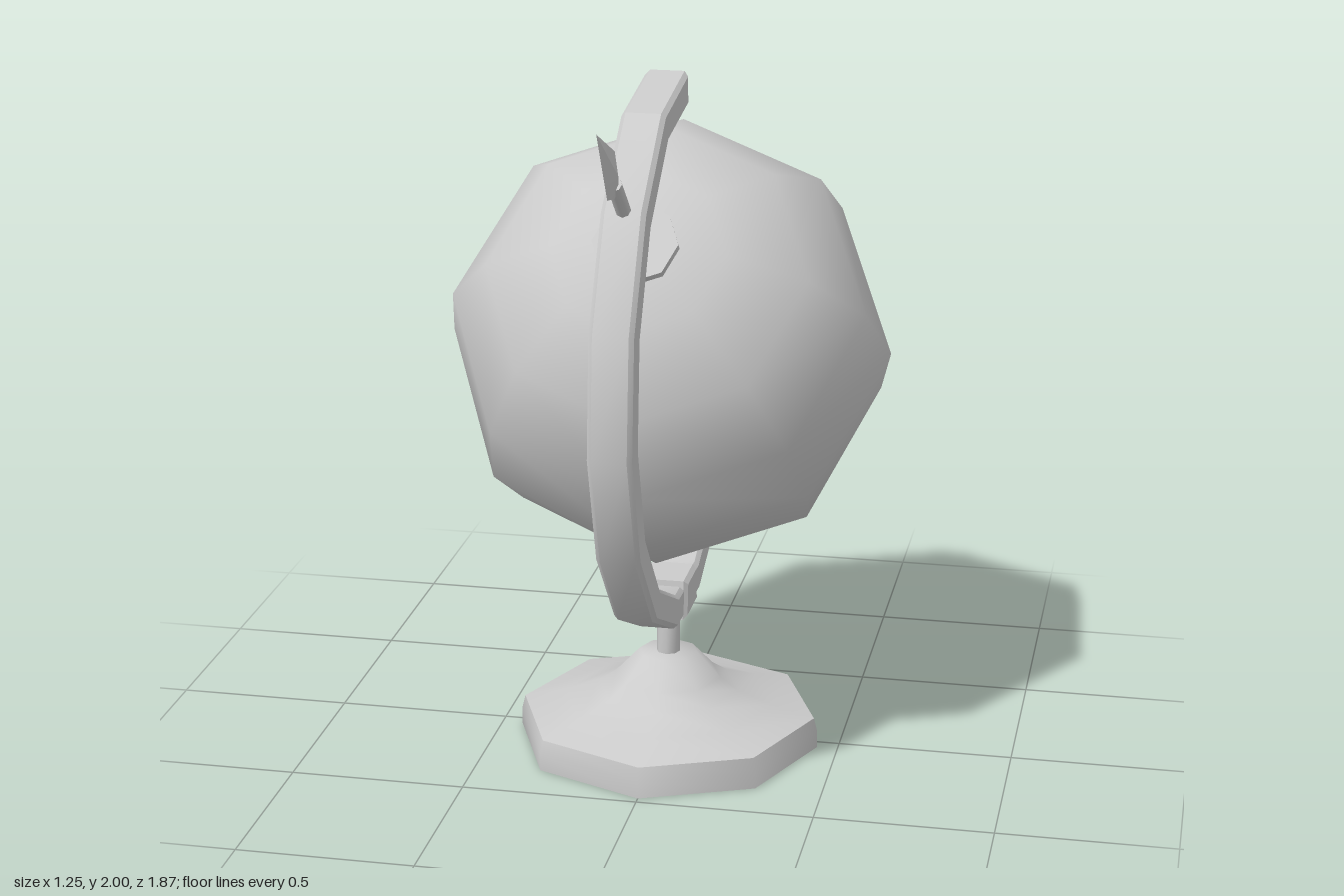
import * as THREE from 'three';
import { toCreasedNormals } from 'three/addons/utils/BufferGeometryUtils.js';

const material = new THREE.MeshStandardMaterial({ color: 0xcccccc });
const v2 = (x, y) => new THREE.Vector2(x, y);

function add(parent, name, geometry, crease) {
  const mesh = new THREE.Mesh(crease ? toCreasedNormals(geometry, crease) : geometry, material);
  mesh.name = name;
  parent.add(mesh);
  return mesh;
}

// Extrudes a (z, y) outline across x, centred on x = 0, with a small bevel
function sideExtrude(points, width, bevel) {
  const g = new THREE.ExtrudeGeometry(new THREE.Shape(points), {
    depth: width - 2 * bevel,
    bevelEnabled: bevel > 0,
    bevelSize: bevel,
    bevelThickness: bevel,
    bevelOffset: -bevel,
    bevelSegments: 1,
  });
  return g.translate(0, 0, bevel - width / 2).rotateY(-Math.PI / 2);
}

export function createModel() {
  const model = new THREE.Group();
  const centreY = 1.2, centreZ = 0.015, standZ = 0.037;

  // Octagonal flared base and its stem
  const profile = [[0, 0], [0.44, 0], [0.44, 0.05], [0.43, 0.09], [0.307, 0.122],
    [0.207, 0.16], [0.154, 0.196], [0.085, 0.27], [0, 0.27]].map(([r, y]) => v2(r, y));
  add(model, 'base', new THREE.LatheGeometry(profile, 8), 0.88).position.z = standZ;
  add(model, 'stem', new THREE.CylinderGeometry(0.034, 0.034, 0.18, 8), 0.9)
    .position.set(0, 0.34, standZ);

  // Faceted C-shaped arm
  const outer = [], inner = [];
  for (let i = 0; i <= 10; i++) {
    const a = THREE.MathUtils.degToRad(87.4 - 23.45 * i);
    const r = i === 0 || i === 10 ? 0.735 : 0.768;
    const at = (d) => v2(centreZ + (r + d) * Math.cos(a), centreY + (r + d) * Math.sin(a));
    outer.push(at(0.048));
    inner.unshift(at(-0.048));
  }
  add(model, 'arm', sideExtrude([...outer, ...inner], 0.12, 0.012), 0.5);

  // Sleeve joining arm and stem
  const sleeve = [v2(-0.047, 0.4), v2(0.12, 0.4), v2(0.108, 0.514), v2(-0.035, 0.514)];
  add(model, 'sleeve', sideExtrude(sleeve, 0.14, 0.012), 0.5);

  // Tilted assembly: local y runs along the globe's axis
  const axis = new THREE.Group();
  axis.name = 'tiltedAxis';
  axis.position.set(0, centreY, centreZ);
  axis.rotation.x = THREE.MathUtils.degToRad(49);
  model.add(axis);

  add(axis, 'globe', new THREE.SphereGeometry(0.627, 8, 8));
  for (const side of [1, -1]) {
    const hub = add(axis, 'poleCap', new THREE.CylinderGeometry(0.117, 0.117, 0.04, 8)
      .rotateY(Math.PI / 4), 0.9);
    hub.position.y = side * 0.607;
  }

  // Arrow through the poles
  add(axis, 'arrowShaft', new THREE.CylinderGeometry(0.021, 0.021, 2.0, 8), 0.9)
    .position.y = -0.04;
  const head = [v2(0, 0.93), v2(0.027, 0.93), v2(0.07, 1.005), v2(0, 1.225)];
  add(axis, 'arrowHead', new THREE.LatheGeometry(head, 4).scale(0.27, 1, 1), 0.3);

  // Splayed, jagged fletching
  const half = [[0.02, -0.96], [0.026, -1.06], [0.072, -1.19], [0.034, -1.11],
    [0.036, -1.2], [0.014, -1.11]].map(([t, s]) => v2(t, s));
  const mirrored = half.map((p) => v2(-p.x, p.y)).reverse();
  add(axis, 'fletching', sideExtrude([...half, v2(0, -1.18), ...mirrored], 0.028, 0), 0.5);

  return model;
}
